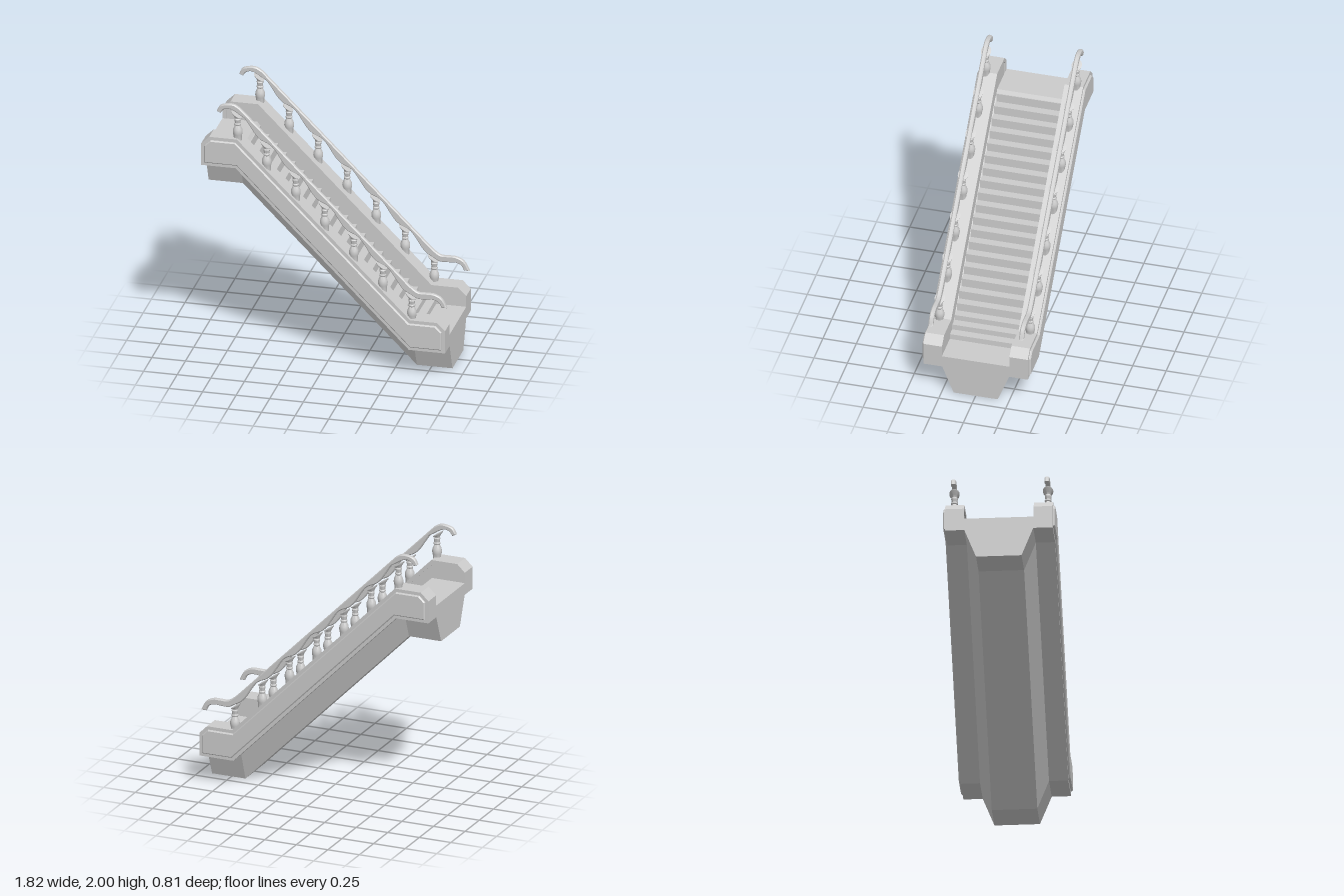
import * as THREE from 'three';
import { toCreasedNormals } from 'three/addons/utils/BufferGeometryUtils.js';

const material = new THREE.MeshStandardMaterial({ color: 0xcccccc });
const toVectors = (points) => points.map(([x, y]) => new THREE.Vector2(x, y));

function addMesh(parent, name, geometry, x = 0, y = 0, z = 0) {
  const mesh = new THREE.Mesh(geometry, material);
  mesh.name = name;
  mesh.position.set(x, y, z);
  parent.add(mesh);
}

// Extrusion centred on z = 0
function slab(points, width, hole) {
  const shape = new THREE.Shape(toVectors(points));
  if (hole) shape.holes.push(new THREE.Path(toVectors(hole)));
  return new THREE.ExtrudeGeometry(shape, { depth: width, bevelEnabled: false }).translate(0, 0, -width / 2);
}

// Side panel outline, inset by d
function panelOutline(d) {
  const k = 0.414 * d;
  return [
    [-0.91 + d, 1.515 + d], [-0.655 + k, 1.515 + d], [0.635 + k, 0.215 + d], [0.904 - d, 0.215 + d],
    [0.904 - d, 0.39 - k], [0.844 - k, 0.45 - d], [0.645 - k, 0.45 - d],
    [-0.645 - k, 1.743 - d], [-0.85 + k, 1.743 - d], [-0.91 + d, 1.685 - k],
  ];
}

// Raised panel with a bevelled rim, symmetric front to back
function raisedPanelGeometry() {
  return new THREE.ExtrudeGeometry(new THREE.Shape(toVectors(panelOutline(0.024))), {
    depth: 0.012, bevelThickness: 0.008, bevelSize: 0.008, bevelOffset: -0.008, bevelSegments: 1,
  }).translate(0, 0, -0.006);
}

// Central body with landings and steps that flatten out at both ends
function stairGeometry() {
  const points = [[-0.91, 1.515], [-0.655, 1.515], [0.635, 0.215], [0.904, 0.215], [0.904, 0.305]];
  let level = 0.305;
  for (let i = 0; i <= 20; i++) {
    const x = 0.68 - i * 0.0651;
    const top = i < 3 ? 0.345 + i * 0.04 : 0.485 + (i - 3) * 0.0644;
    points.push([x, level], [x - 0.003, top]);
    level = top;
  }
  points.push([-0.632, level], [-0.65, 1.605], [-0.91, 1.605]);
  return slab(points, 0.506);
}

// Tapered underside: trapezoid sections swept along the slope
function undersideGeometry() {
  const sections = [
    [-0.91, 1.515, -0.91, 1.3], [-0.655, 1.515, -0.655, 1.3],
    [0.635, 0.215, 0.64, 0], [0.904, 0.215, 0.904, 0],
  ];
  const positions = [], index = [];
  for (const [xt, yt, xb, yb] of sections)
    positions.push(xt, yt, 0.25, xb, yb, 0.165, xb, yb, -0.165, xt, yt, -0.25);
  for (let s = 0; s < 3; s++)
    for (let c = 0; c < 4; c++) {
      const a = s * 4 + c, b = s * 4 + ((c + 1) % 4);
      index.push(a, b, b + 4, a, b + 4, a + 4);
    }
  index.push(0, 3, 2, 0, 2, 1, 12, 13, 14, 12, 14, 15);
  const geometry = new THREE.BufferGeometry();
  geometry.setAttribute('position', new THREE.Float32BufferAttribute(positions, 3));
  geometry.setIndex(index);
  const flat = geometry.toNonIndexed();
  flat.computeVertexNormals();
  return flat;
}

// Turned baluster whose cap leans with the slope
function balusterGeometry() {
  const profile = [
    [0.001, -0.04], [0.03, -0.04], [0.03, 0.008], [0.034, 0.022], [0.036, 0.04], [0.033, 0.06],
    [0.025, 0.078], [0.02, 0.09], [0.025, 0.096], [0.025, 0.104], [0.02, 0.11], [0.023, 0.128],
    [0.025, 0.138], [0.02, 0.145], [0.022, 0.155], [0.036, 0.167], [0.038, 0.174], [0.001, 0.178],
  ];
  const geometry = new THREE.LatheGeometry(toVectors(profile), 20);
  const p = geometry.attributes.position;
  for (let i = 0; i < p.count; i++) {
    const lean = THREE.MathUtils.smoothstep(p.getY(i), 0.135, 0.17);
    p.setY(i, p.getY(i) - p.getX(i) * lean * 0.65);
    p.setX(i, p.getX(i) - lean * 0.008);
  }
  return toCreasedNormals(geometry, 0.7);
}

// Handrail with straight top, wavy underside and curled ends
function handrailGeometry() {
  const smooth = (points, n) => new THREE.SplineCurve(toVectors(points)).getPoints(n).map((p) => [p.x, p.y]);
  const topY = (x) => 1.97 - 1.005 * (x + 0.63);
  const upperTop = smooth([[-0.805, 1.935], [-0.78, 1.98], [-0.725, 1.998], [-0.675, 1.996], [-0.63, 1.97]], 16);
  const lowerTop = smooth([[0.63, topY(0.63)], [0.69, 0.66], [0.75, 0.657], [0.81, 0.655], [0.87, 0.625], [0.908, 0.555]], 20);
  const lowerBottom = smooth([[0.868, 0.555], [0.85, 0.59], [0.81, 0.61], [0.75, 0.608], [0.69, 0.608], [0.64, 0.635]], 20);
  const upperBottom = smooth([[-0.64, 1.925], [-0.68, 1.95], [-0.72, 1.963], [-0.755, 1.95], [-0.775, 1.922]], 16);
  const wave = [];
  for (let i = 0; i <= 84; i++) {
    const x = 0.6 - (i / 84) * 1.2;
    const thickness = 0.06 + 0.021 * Math.cos((2 * Math.PI * (x + 0.068)) / 0.216);
    wave.push([x, topY(x) - thickness]);
  }
  const outline = [...upperTop, ...lowerTop, ...lowerBottom, ...wave, ...upperBottom].reverse();
  const geometry = new THREE.ExtrudeGeometry(new THREE.Shape(toVectors(outline)), {
    depth: 0.018, bevelThickness: 0.008, bevelSize: 0.007, bevelOffset: -0.007, bevelSegments: 1,
  }).translate(0, 0, -0.009);
  return toCreasedNormals(geometry, 0.5);
}

export function createModel() {
  const model = new THREE.Group();
  model.name = 'staircase';
  addMesh(model, 'stepsAndLandings', stairGeometry());
  addMesh(model, 'underside', undersideGeometry());

  const panel = slab(panelOutline(0), 0.126);
  const innerFrame = slab(panelOutline(0), 0.012, panelOutline(0.028));
  const raisedPanel = raisedPanelGeometry();
  const baluster = balusterGeometry();
  const handrail = handrailGeometry();

  for (const s of [-1, 1]) {
    const side = new THREE.Group();
    side.name = s > 0 ? 'frontBalustrade' : 'backBalustrade';
    model.add(side);
    addMesh(side, 'sidePanel', panel, 0, 0, s * 0.327);
    addMesh(side, 'innerFrame', innerFrame, 0, 0, s * 0.258);
    addMesh(side, 'raisedPanel', raisedPanel, 0, 0, s * 0.391);
    addMesh(side, 'handrail', handrail, 0, 0, s * 0.339);
    for (let i = 0; i < 7; i++)
      addMesh(side, 'baluster', baluster, 0.645 - i * 0.216, 0.45 + i * 0.216, s * 0.339);
  }
  return model;
}
